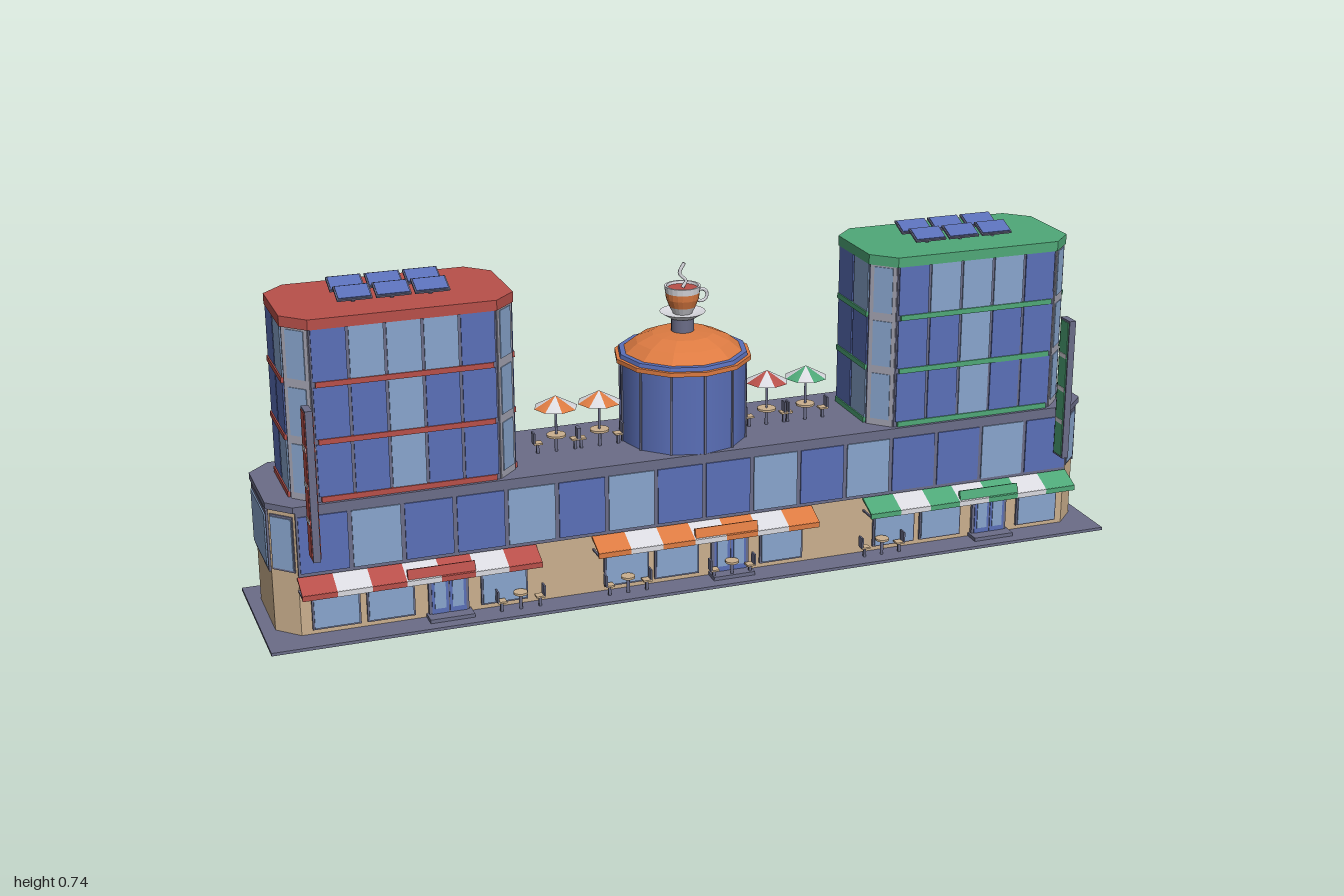
import * as THREE from 'three';

const mat = (name, color) => Object.assign(new THREE.MeshStandardMaterial({ color, side: THREE.DoubleSide }), { name });
const M = {
  tan: mat('tan wall', 0xcbb08e), grey: mat('slate grey', 0x6b6d88), pale: mat('pale grey', 0xa4a4b2),
  blue: mat('blue glass', 0x5a6fb8), light: mat('light glass', 0x88a5cd), red: mat('red', 0xb8504a),
  green: mat('green', 0x4fa878), orange: mat('orange', 0xdd7b42), white: mat('white', 0xdadae0),
};
const CZ = -0.02; // depth centre of the buildings

function add(parent, name, geo, material, x = 0, y = 0, z = 0) {
  const m = new THREE.Mesh(geo, material);
  m.name = name;
  m.position.set(x, y, z);
  parent.add(m);
  return m;
}
const box = (p, name, w, h, d, m, x, y, z) => add(p, name, new THREE.BoxGeometry(w, h, d), m, x, y, z);
const cyl = (p, name, r, h, m, x, y, z, n = 8) => add(p, name, new THREE.CylinderGeometry(r, r, h, n), m, x, y, z);
function group(parent, name, x = 0, y = 0, z = 0) {
  const g = new THREE.Group();
  g.name = name;
  g.position.set(x, y, z);
  parent.add(g);
  return g;
}

// Chamfered rectangle; edges run front, corner, left, corner, back, corner, right, corner
function octagon(hx, hz, c) {
  const a = hx - c, b = hz - c;
  return [[-a, hz], [a, hz], [hx, b], [hx, -b], [a, -hz], [-a, -hz], [-hx, -b], [-hx, b]];
}
function slab(p, name, pts, y0, y1, m) {
  const shape = new THREE.Shape(pts.map(([x, z]) => new THREE.Vector2(x, -z)));
  const geo = new THREE.ExtrudeGeometry(shape, { depth: y1 - y0, bevelEnabled: false });
  geo.rotateX(-Math.PI / 2);
  return add(p, name, geo, m, 0, y0, 0);
}
// Plate on octagon edge i, from u0 to u1 along it (0..1)
function plate(p, name, pts, i, u0, u1, y0, y1, t, m) {
  const [ax, az] = pts[i], [bx, bz] = pts[(i + 1) % 8];
  const dx = bx - ax, dz = bz - az, len = Math.hypot(dx, dz), u = (u0 + u1) / 2;
  const mesh = box(p, name, len * (u1 - u0), y1 - y0, t, m,
    ax + dx * u - dz / len * t / 2, (y0 + y1) / 2, az + dz * u + dx / len * t / 2);
  mesh.rotation.y = Math.atan2(-dz, dx);
}
const glass = (a, b, c) => ((a * 7 + b * 11 + c * 5 + a * b * 3) % 10 < 3 ? M.light : M.blue);

function podium(root) {
  const g = group(root, 'podium', 0, 0, CZ);
  const pts = octagon(0.97, 0.135, 0.048);
  slab(g, 'podiumWalls', pts, 0.007, 0.293, M.tan);
  slab(g, 'podiumRoof', octagon(0.977, 0.143, 0.05), 0.293, 0.307, M.grey);
  for (const i of [0, 4]) { // long glazed strips
    plate(g, 'stripFrame', pts, i, 0, 1, 0.145, 0.293, 0.006, M.grey);
    for (let k = 0; k < 16; k++) {
      const lit = i ? k % 7 === 3 : [1, 4, 6, 9, 11, 14].includes(k);
      plate(g, 'stripWindow', pts, i, (k + 0.04) / 16, (k + 0.96) / 16, 0.153, 0.283, 0.009, lit ? M.light : M.blue);
    }
  }
  for (const i of [2, 6]) {
    plate(g, 'endFrame', pts, i, 0.01, 0.99, 0.145, 0.285, 0.005, M.grey);
    plate(g, 'endWindow', pts, i, 0.05, 0.95, 0.155, 0.275, 0.008, M.light);
  }
  for (const i of [1, 3, 5, 7]) {
    plate(g, 'cornerFrame', pts, i, 0.08, 0.92, 0.153, 0.281, 0.003, M.grey);
    plate(g, 'cornerWindow', pts, i, 0.12, 0.88, 0.158, 0.276, 0.005, M.light);
  }
}

function tower(root, side, accent) {
  const g = group(root, side < 0 ? 'redTower' : 'greenTower', side * 0.67, 0, CZ);
  const pts = octagon(0.248, 0.132, 0.048);
  slab(g, 'towerBody', pts, 0.307, 0.692, M.grey);
  slab(g, 'towerRoof', octagon(0.252, 0.136, 0.05), 0.69, 0.713, accent);
  const floors = [[0.32, 0.437], [0.449, 0.563], [0.576, 0.69]];
  floors.forEach(([y0, y1], f) => {
    for (let i = 0; i < 8; i++) {
      if (i % 2) {
        plate(g, 'cornerPost', pts, i, 0.04, 0.96, y0 - 0.013, y1, 0.002, M.pale);
        plate(g, 'cornerWindow', pts, i, 0.17, 0.83, y0 + 0.003, y1 - 0.004, 0.004, i === 3 && f === 1 ? M.blue : M.light);
        continue;
      }
      const n = i % 4 ? 2 : 5;
      for (let k = 0; k < n; k++) {
        const m = n === 2 ? ((k + f) % 2 && f !== 1 ? M.light : M.blue) : glass(k + 1, f + 2, i + (side + 1));
        plate(g, 'towerWindow', pts, i, (k + 0.04) / n, (k + 0.96) / n, y0, y1, 0.003, m);
      }
      plate(g, 'floorBand', pts, i, 0.02, 0.98, y0 - 0.012, y0, 0.006, accent);
    }
  });
  // Tilted solar panels
  for (const z of [0.037, -0.038]) for (let k = -1; k <= 1; k++) {
    const s = group(g, 'solarPanel', k * 0.084, 0.732, z);
    cyl(s, 'panelPost', 0.004, 0.03, M.grey, 0, -0.012, 0);
    const t = group(s, 'panelTilt');
    t.rotation.x = 0.4;
    box(t, 'panelFrame', 0.076, 0.005, 0.047, M.grey, 0, 0, 0);
    box(t, 'panelCells', 0.07, 0.003, 0.041, M.blue, 0, 0.003, 0);
  }
  // Upright blade sign on the front corner
  const b = group(root, 'bladeSign', side * 0.89, 0.366, 0.153);
  box(b, 'signFrame', 0.016, 0.338, 0.042, M.grey, 0, 0, 0);
  box(b, 'signFace', 0.02, 0.328, 0.034, accent, 0, 0, 0);
  for (const y of [-0.08, 0, 0.082]) box(b, 'signStripe', 0.023, 0.01, 0.031, M.white, 0, y, 0);
  for (const y of [-0.132, -0.09]) box(b, 'signBracket', 0.007, 0.007, 0.04, M.grey, 0, y, -0.03);
}

function rotunda(root) {
  const g = group(root, 'rotunda', 0, 0, CZ);
  cyl(g, 'rotundaWall', 0.145, 0.19, M.blue, 0, 0.402, 0, 12);
  for (let i = 0; i < 12; i++) {
    const a = i * Math.PI / 6;
    box(g, 'wallRib', 0.005, 0.19, 0.005, M.grey, Math.sin(a) * 0.145, 0.402, Math.cos(a) * 0.145).rotation.y = a;
  }
  const lathe = (name, prof, m, n = 12) => {
    const geo = new THREE.LatheGeometry(prof.map(([r, y]) => new THREE.Vector2(r, y)), n).toNonIndexed();
    geo.computeVertexNormals();
    return add(g, name, geo, m);
  };
  lathe('eave', [[0, 0.494], [0.157, 0.494], [0.157, 0.504], [0, 0.504]], M.orange);
  lathe('eaveRing', [[0.13, 0.504], [0.149, 0.504], [0.147, 0.513], [0.13, 0.513]], M.blue);
  lathe('domeRoof', [[0.139, 0.51], [0.108, 0.535], [0.07, 0.551], [0, 0.557]], M.orange);
  // Giant cup on a pedestal
  cyl(g, 'pedestal', 0.026, 0.035, M.grey, 0, 0.57, 0, 16);
  lathe('saucer', [[0, 0.586], [0.03, 0.586], [0.052, 0.6], [0.03, 0.596], [0, 0.596]], M.white, 20);
  lathe('cupFoot', [[0, 0.596], [0.022, 0.596], [0.03, 0.612]], M.white, 20);
  lathe('cupBody', [[0.03, 0.612], [0.037, 0.63], [0.039, 0.645]], M.orange, 20);
  lathe('cupRim', [[0.039, 0.645], [0.041, 0.66], [0.036, 0.66], [0.034, 0.65]], M.white, 20);
  cyl(g, 'coffee', 0.035, 0.004, M.red, 0, 0.652, 0, 20);
  add(g, 'cupHandle', new THREE.TorusGeometry(0.014, 0.004, 6, 14), M.white, 0.045, 0.633, 0);
  const steam = new THREE.CatmullRomCurve3([[0, 0.655], [0.008, 0.67], [-0.007, 0.688], [0.004, 0.712]]
    .map(([x, y]) => new THREE.Vector3(x, y, 0)));
  add(g, 'steam', new THREE.TubeGeometry(steam, 16, 0.004, 6), M.white);
}

// Round table with two chairs
function tableSet(root, x, y, z, r) {
  const g = group(root, 'tableSet', x, y, z);
  cyl(g, 'tableTop', r, 0.005, M.tan, 0, 0.038, 0, 12);
  cyl(g, 'tableLeg', 0.004, 0.038, M.grey, 0, 0.019, 0);
  for (const s of [-1, 1]) {
    box(g, 'chairSeat', 0.02, 0.004, 0.02, M.tan, s * 0.044, 0.024, 0);
    box(g, 'chairBack', 0.004, 0.026, 0.02, M.grey, s * 0.053, 0.037, 0);
    box(g, 'chairLeg', 0.006, 0.024, 0.006, M.grey, s * 0.044, 0.012, 0);
  }
  return g;
}
function parasolTable(root, x, accent) {
  const g = tableSet(root, x, 0.307, -0.01, 0.022);
  cyl(g, 'parasolPole', 0.003, 0.12, M.grey, 0, 0.06, 0);
  for (let i = 0; i < 8; i++) {
    const geo = new THREE.ConeGeometry(0.05, 0.027, 1, 1, true, i * Math.PI / 4, Math.PI / 4);
    add(g, 'parasolPanel', geo, i % 2 ? M.white : accent, 0, 0.118, 0);
  }
}

function shop(root, x, accent) {
  const g = group(root, 'shopFront', x, 0, 0.115);
  // Windows and door
  for (const u of [-0.185, -0.065, 0.19]) {
    box(g, 'windowFrame', 0.106, 0.094, 0.006, M.grey, u, 0.065, 0.003);
    box(g, 'windowGlass', 0.098, 0.086, 0.009, M.light, u, 0.065, 0.0045);
  }
  box(g, 'doorFrame', 0.09, 0.112, 0.008, M.grey, 0.063, 0.063, 0.004);
  for (const s of [-1, 1]) {
    box(g, 'doorLeaf', 0.037, 0.1, 0.01, M.blue, 0.063 + s * 0.02, 0.062, 0.005);
    box(g, 'doorGlass', 0.025, 0.076, 0.012, M.light, 0.063 + s * 0.02, 0.066, 0.006);
  }
  box(g, 'doorStep', 0.1, 0.009, 0.038, M.grey, 0.063, 0.011, 0.019);
  // Striped awning with a valance
  const w = 0.53 / 7;
  for (let k = 0; k < 7; k++) {
    const m = k % 2 ? M.white : accent, u = (k - 3) * w;
    const a = box(g, 'awningStripe', w, 0.005, 0.056, m, u, 0.13, 0.026);
    a.rotation.x = 0.42;
    box(g, 'awningValance', w, 0.013, 0.004, m, u, 0.115, 0.05);
  }
  box(g, 'awningSign', 0.15, 0.024, 0.008, accent, 0.04, 0.131, 0.042).rotation.x = -0.3;
  for (const s of [-1, 1]) box(g, 'awningArm', 0.004, 0.004, 0.05, M.grey, s * 0.262, 0.111, 0.025);
}

export function createModel() {
  const root = new THREE.Group();
  root.name = 'shoppingCentre';
  box(root, 'basePlate', 2, 0.007, 0.36, M.grey, 0, 0.0035, 0);
  podium(root);
  tower(root, -1, M.red);
  tower(root, 1, M.green);
  rotunda(root);
  parasolTable(root, -0.305, M.orange);
  parasolTable(root, -0.203, M.orange);
  parasolTable(root, 0.203, M.red);
  parasolTable(root, 0.3, M.green);
  shop(root, -0.66, M.red);
  shop(root, 0, M.orange);
  shop(root, 0.66, M.green);
  for (const x of [-0.44, -0.19, 0.06, 0.435]) tableSet(root, x, 0.007, 0.143, 0.016);
  return root;
}
